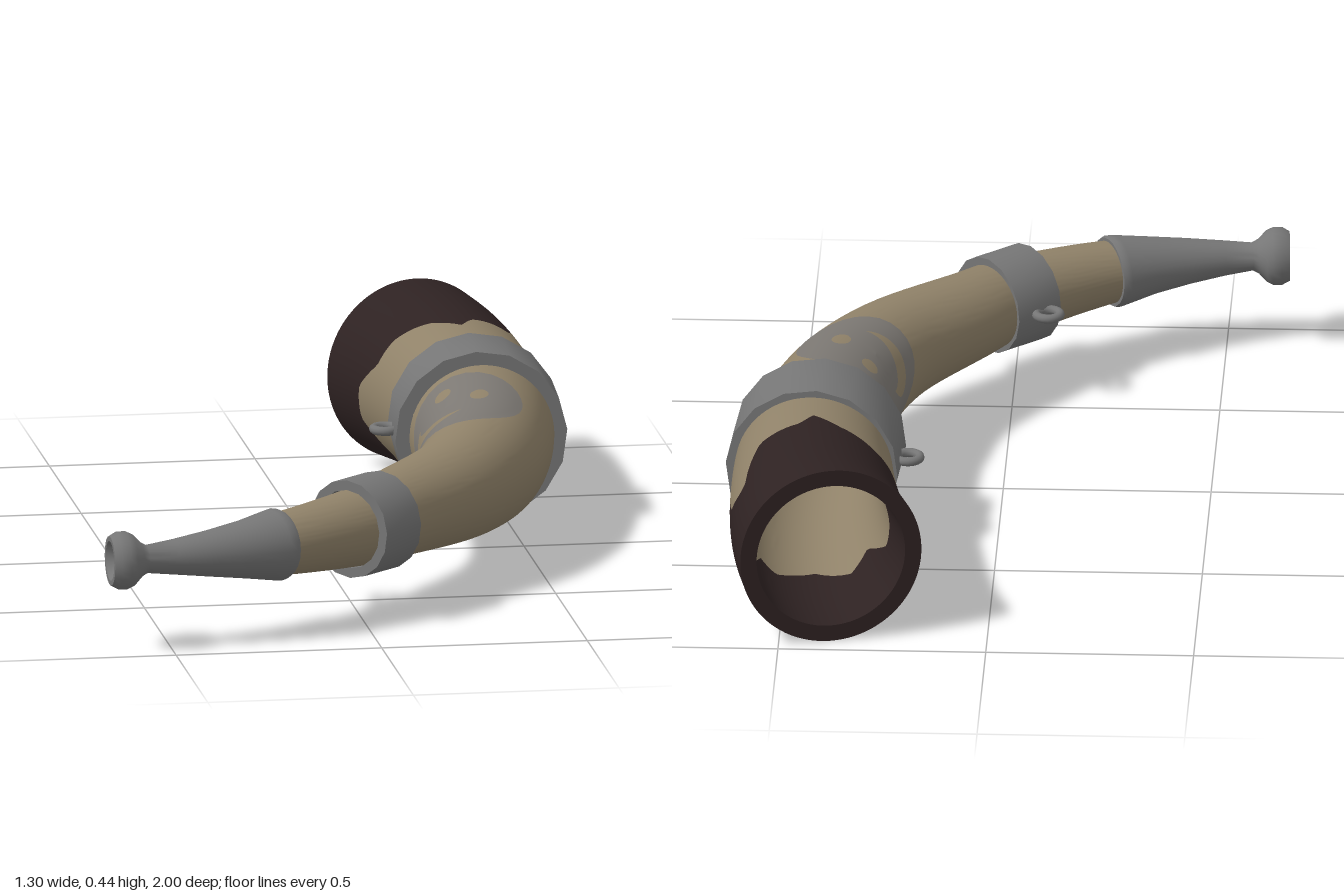
import * as THREE from 'three';
import { toCreasedNormals } from 'three/addons/utils/BufferGeometryUtils.js';

const AXIS_Y = 0.222;

// Centre line from bell to mouthpiece tip; y carries the horn's radius
const spine = new THREE.CatmullRomCurve3([
  [0.375, 0.222, -0.945], [0.403, 0.215, -0.83], [0.428, 0.203, -0.63], [0.438, 0.183, -0.325],
  [0.41, 0.158, -0.04], [0.364, 0.142, 0.14], [0.275, 0.126, 0.325], [0.105, 0.107, 0.535],
  [0.015, 0.097, 0.645], [-0.22, 0.076, 0.815], [-0.4, 0.06, 0.888], [-0.57, 0.05, 0.925], [-0.65, 0.05, 0.93],
].map((p) => new THREE.Vector3(...p)));
const LENGTH = spine.getLength();

// Point at distance d from the bell, angle phi from the top towards the inner bend
function onHorn(d, phi, radius) {
  const u = THREE.MathUtils.clamp(d / LENGTH, 0, 1);
  const c = spine.getPointAt(u);
  const t = spine.getTangentAt(u).setY(0).normalize();
  const r = radius(c.y);
  const s = r * Math.sin(phi);
  return [c.x - t.z * s, AXIS_Y + r * Math.cos(phi), c.z + t.x * s];
}

// Skin of rings along the spine; each row is { d(phi), radius(hornRadius), mat }
function sweep(rows, sides, crease) {
  const pos = [], index = [];
  const geo = new THREE.BufferGeometry();
  rows.forEach((row, i) => {
    for (let j = 0; j < sides; j++) {
      const phi = (j / sides) * Math.PI * 2;
      pos.push(...onHorn(row.d(phi), phi, row.radius));
    }
    if (i === 0) return;
    geo.addGroup(index.length, sides * 6, row.mat);
    for (let j = 0; j < sides; j++) {
      const a = (i - 1) * sides + j, b = (i - 1) * sides + (j + 1) % sides;
      index.push(a, b, b + sides, a, b + sides, a + sides);
    }
  });
  geo.setAttribute('position', new THREE.Float32BufferAttribute(pos, 3));
  geo.setIndex(index);
  return toCreasedNormals(geo, crease);
}

// Ragged edge of the dark bell: angle in degrees, distance from the rim
const DRIPS = [
  [0, 0.4], [18, 0.34], [45, 0.3], [65, 0.3], [85, 0.21], [108, 0.2], [130, 0.34], [150, 0.27],
  [180, 0.33], [200, 0.3], [215, 0.26], [233, 0.28], [240, 0.22], [255, 0.22], [261, 0.28], [269, 0.34],
  [274, 0.31], [280, 0.21], [295, 0.18], [303, 0.18], [309, 0.25], [320, 0.33], [350, 0.35], [360, 0.4],
];
function dripEdge(phi) {
  const deg = THREE.MathUtils.radToDeg(phi);
  const k = Math.max(1, DRIPS.findIndex((p) => p[0] >= deg));
  const [a, b] = [DRIPS[k - 1], DRIPS[k]];
  return THREE.MathUtils.mapLinear(deg, a[0], b[0], a[1], b[1]);
}

// Horn with hollow bell: material 0 is horn, 1 is the dark end
function hornGeometry() {
  const rows = [];
  const inner = (r) => r - 0.04, outer = (r) => r;
  const deep = 0.9, end = LENGTH - 0.4;
  const add = (d, radius, mat) => rows.push({ d, radius, mat });
  add(() => deep, () => 0, 0);
  for (let i = 0; i <= 12; i++) add((p) => THREE.MathUtils.lerp(deep, dripEdge(p) * 0.85, i / 12), inner, 0);
  for (let i = 1; i <= 6; i++) add((p) => dripEdge(p) * 0.85 * (1 - i / 6), inner, 1);
  add(() => 0, outer, 1);
  for (let i = 1; i <= 8; i++) add((p) => dripEdge(p) * i / 8, outer, 1);
  for (let i = 1; i <= 40; i++) add((p) => THREE.MathUtils.lerp(dripEdge(p), end, i / 40), outer, 0);
  return sweep(rows, 96, 0.7);
}

// Mouthpiece profile: distance back from the tip, radius; ends inside the cup
function mouthpieceGeometry() {
  const profile = [
    [0.45, 0.07], [0.45, 0.084], [0.44, 0.088], [0.425, 0.086], [0.34, 0.07], [0.25, 0.056], [0.16, 0.043],
    [0.09, 0.034], [0.075, 0.042], [0.055, 0.063], [0.04, 0.07], [0.018, 0.07], [0, 0.06],
    [0, 0.048], [0.025, 0.036], [0.06, 0.015], [0.065, 0],
  ];
  return sweep(profile.map(([d, r]) => ({ d: () => LENGTH - d, radius: () => r, mat: 0 })), 24, 0.8);
}

// Thin inlay following the horn; shape(u, v) gives [around, along] from the emblem centre
function inlay(shape, lift) {
  const geo = new THREE.PlaneGeometry(1, 1, 10, 40);
  const pos = geo.attributes.position;
  for (let i = 0; i < pos.count; i++) {
    const [around, along] = shape(pos.getX(i) + 0.5, pos.getY(i) + 0.5);
    pos.setXYZ(i, ...onHorn(0.975 + along, 0.65 + around / 0.155, (r) => r + lift));
  }
  geo.computeVertexNormals();
  return geo;
}
const disc = (x, y, rx, ry) => (u, v) =>
  [x + rx * u * Math.cos(v * Math.PI * 2), y + ry * u * Math.sin(v * Math.PI * 2)];
const crescent = (u, v) => {
  const angle = Math.PI * (0.25 + (v - 0.5) * 0.85);
  const r = 0.105 + (u - 0.5) * 0.06 * Math.sin(v * Math.PI);
  return [r * Math.cos(angle), r * Math.sin(angle)];
};

// Sixteen-sided band with a bore
function bandGeometry(radius, bore, length) {
  const h = length / 2;
  const profile = [[radius, -h], [radius, h], [bore, h], [bore, -h], [radius, -h]];
  return toCreasedNormals(new THREE.LatheGeometry(profile.map((p) => new THREE.Vector2(...p)), 16), 0.6);
}

export function createModel() {
  const material = (name, color, side = THREE.FrontSide) => {
    const m = new THREE.MeshStandardMaterial({ color, side });
    m.name = name;
    return m;
  };
  const horn = material('horn', 0x908269);
  const dark = material('darkHorn', 0x2e2222);
  const metal = material('metal', 0x767676);
  const emblem = material('emblemGrey', 0x7c7873);

  const model = new THREE.Group();
  model.name = 'horn';
  const add = (name, geo, mat) => {
    const mesh = new THREE.Mesh(geo, mat);
    mesh.name = name;
    model.add(mesh);
    return mesh;
  };

  add('hornBody', hornGeometry(), [horn, dark]);
  add('mouthpiece', mouthpieceGeometry(), metal);

  // Round inlay with cream details
  add('emblemDisc', inlay(disc(0, 0, 0.2, 0.21), 0.003), emblem);
  add('emblemCrescent', inlay(crescent, 0.006), horn);
  add('emblemUpperSpot', inlay(disc(0, -0.1, 0.022, 0.035), 0.006), horn);
  add('emblemLowerSpot', inlay(disc(-0.09, -0.01, 0.022, 0.035), 0.006), horn);

  // Bands and their strap loops
  const up = new THREE.Vector3(0, 1, 0);
  [
    ['bellBand', 0.437, -0.325, [-0.06, 1], 0.208, 0.174, 0.2, 0.215, -0.335],
    ['neckBand', 0.015, 0.645, [-0.74, 0.67], 0.12, 0.096, 0.13, -0.085, 0.55],
  ].forEach(([name, x, z, dir, radius, bore, length, loopX, loopZ]) => {
    const band = add(name, bandGeometry(radius, bore, length), metal);
    band.position.set(x, AXIS_Y, z);
    band.quaternion.setFromUnitVectors(up, new THREE.Vector3(dir[0], 0, dir[1]).normalize());
    const loop = add(name + 'Loop', new THREE.TorusGeometry(0.029, 0.011, 10, 20), metal);
    loop.position.set(loopX, AXIS_Y, loopZ);
    loop.rotation.x = Math.PI / 2;
  });
  return model;
}
